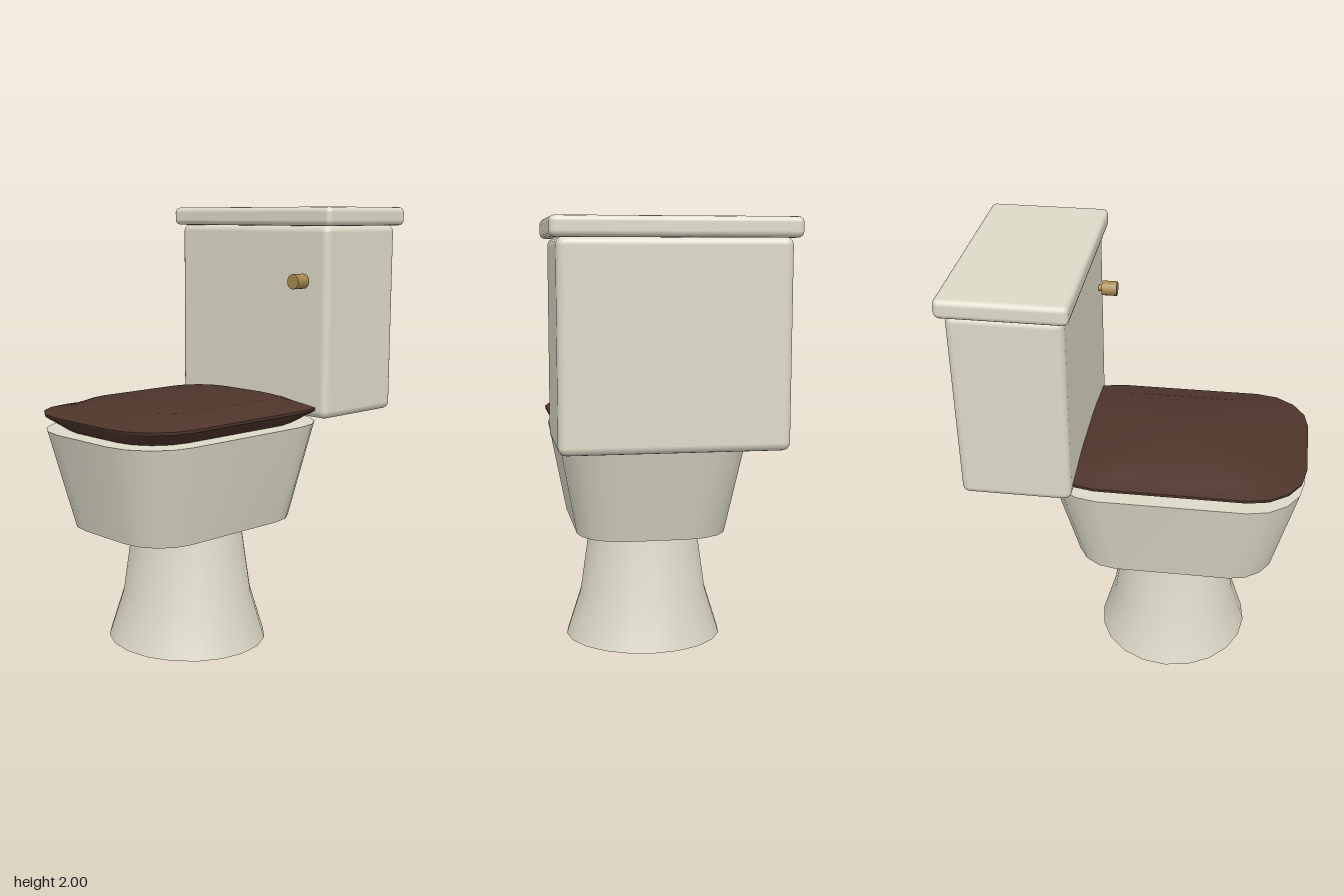
import * as THREE from 'three';
import { toCreasedNormals } from 'three/addons/utils/BufferGeometryUtils.js';
import { RoundedBoxGeometry } from 'three/addons/geometries/RoundedBoxGeometry.js';

const porcelain = new THREE.MeshStandardMaterial({ color: 0xdedac9 });
const wood = new THREE.MeshStandardMaterial({ color: 0x4e352b });
const brass = new THREE.MeshStandardMaterial({ color: 0xa78a50 });

// Rectangle with elliptical corners; roundX and roundZ are fractions of the half sizes.
function ring({ y, x, back, front }, roundX, roundZ, segments) {
  const hz = (front - back) / 2, cz = (front + back) / 2;
  const rx = x * roundX, rz = hz * roundZ;
  const last = roundX === 1 ? segments - 1 : segments; // full ellipse: no doubled points
  const points = [];
  for (let q = 0; q < 4; q++) {
    const sx = q === 0 || q === 3 ? 1 : -1, sz = q < 2 ? 1 : -1;
    for (let j = 0; j <= last; j++) {
      const a = (q + j / segments) * Math.PI / 2;
      points.push([sx * (x - rx) + rx * Math.cos(a), y, cz + sz * (hz - rz) + rz * Math.sin(a)]);
    }
  }
  return points;
}

// Closed body through cross-sections listed from bottom to top.
function loft(sections, roundX, roundZ, segments, crease) {
  const rings = sections.map((s) => ring(s, roundX, roundZ, segments));
  const n = rings[0].length, top = rings.length - 1;
  const positions = rings.flat(2), index = [];
  for (const s of [sections[0], sections[top]]) positions.push(0, s.y, (s.front + s.back) / 2);
  const bottomCentre = n * rings.length, topCentre = bottomCentre + 1;
  for (let i = 0; i < n; i++) {
    const k = (i + 1) % n;
    for (let r = 0; r < top; r++) {
      const a = r * n + i, b = r * n + k;
      index.push(a, a + n, b, b, a + n, b + n);
    }
    index.push(bottomCentre, i, k, topCentre, top * n + k, top * n + i);
  }
  const geometry = new THREE.BufferGeometry();
  geometry.setAttribute('position', new THREE.Float32BufferAttribute(positions, 3));
  geometry.setIndex(index);
  return toCreasedNormals(geometry, crease);
}

export function createModel() {
  const model = new THREE.Group();
  model.name = 'toilet';
  const add = (name, geometry, material, x = 0, y = 0, z = 0) => {
    const mesh = new THREE.Mesh(geometry, material);
    mesh.name = name;
    mesh.position.set(x, y, z);
    model.add(mesh);
    return mesh;
  };

  // Flared foot
  add('pedestal', loft([
    { y: 0, x: 0.38, back: -0.2, front: 0.525 },
    { y: 0.22, x: 0.31, back: -0.135, front: 0.455 },
    { y: 0.57, x: 0.26, back: -0.085, front: 0.405 },
  ], 1, 1, 5, 0.7), porcelain);

  // Tapered bowl
  add('bowl', loft([
    { y: 0.565, x: 0.35, back: -0.285, front: 0.65 },
    { y: 1.015, x: 0.435, back: -0.4, front: 0.765 },
  ], 0.6, 0.43, 4, 0.7), porcelain);

  // Closed seat lid with a raised panel
  add('seatLid', loft([
    { y: 1.016, x: 0.35, back: -0.32, front: 0.68 },
    { y: 1.08, x: 0.447, back: -0.41, front: 0.768 },
    { y: 1.092, x: 0.447, back: -0.41, front: 0.77 },
    { y: 1.107, x: 0.37, back: -0.31, front: 0.67 },
    { y: 1.137, x: 0.305, back: -0.21, front: 0.57 },
  ], 0.6, 0.43, 4, 0.9), wood);

  // Cistern and its cover
  add('tank', new RoundedBoxGeometry(0.97, 0.88, 0.49, 2, 0.035), porcelain, 0, 1.48, -0.497);
  add('tankLid', new RoundedBoxGeometry(1.03, 0.085, 0.55, 2, 0.025), porcelain, 0, 1.9575, -0.5);

  // Flush button on a short stem
  const parts = [['flushStem', 0.015, 0.06, -0.24], ['flushKnob', 0.034, 0.07, -0.2]];
  for (const [name, radius, length, z] of parts) {
    const geometry = new THREE.CylinderGeometry(radius, radius, length, 16).rotateX(Math.PI / 2);
    add(name, geometry, brass, 0.357, 1.668, z);
  }
  return model;
}
